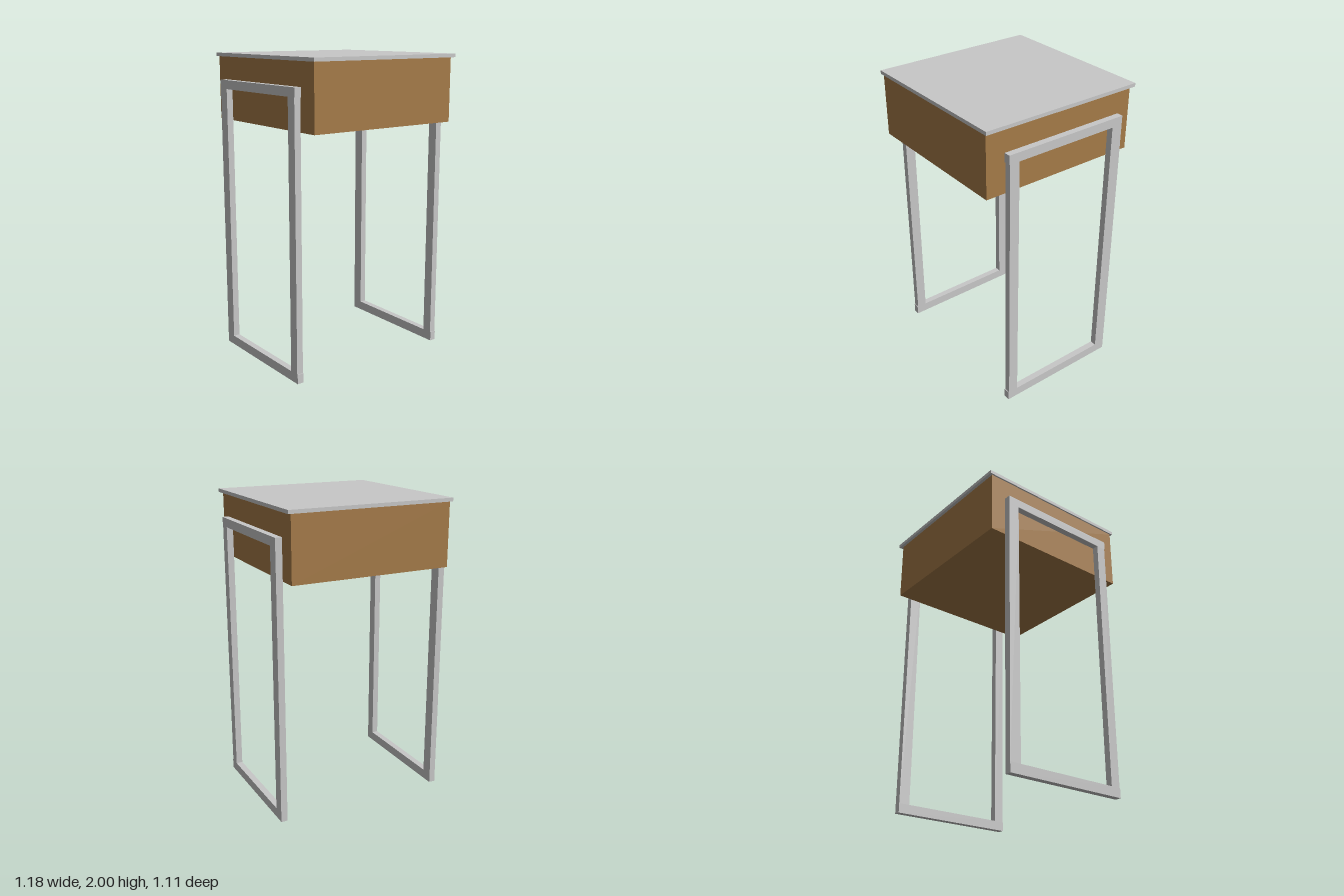
import * as THREE from 'three';

export function createModel() {
  const model = new THREE.Group();
  model.name = 'sideTable';
  const wood = new THREE.MeshStandardMaterial({ color: 0xa57b48 });
  wood.name = 'wood';
  const metal = new THREE.MeshStandardMaterial({ color: 0xc8c8c8 });
  metal.name = 'light grey metal';

  // Box given by its extents along each axis
  function block(name, material, [x0, x1], [y0, y1], [z0, z1], parent = model) {
    const mesh = new THREE.Mesh(new THREE.BoxGeometry(x1 - x0, y1 - y0, z1 - z0), material);
    mesh.position.set((x0 + x1) / 2, (y0 + y1) / 2, (z0 + z1) / 2);
    mesh.name = name;
    parent.add(mesh);
  }

  // Wooden body and overhanging top
  block('body', wood, [-0.54, 0.535], [1.565, 1.977], [-0.537, 0.54]);
  block('tableTop', metal, [-0.55, 0.56], [1.977, 2], [-0.556, 0.555]);

  // Rectangular leg frames: full-length rails with posts between them
  const sides = [['rightLegFrame', [-0.592, -0.549]], ['leftLegFrame', [0.546, 0.589]]];
  for (const [name, x] of sides) {
    const frame = new THREE.Group();
    frame.name = name;
    block('bottomRail', metal, x, [0, 0.062], [-0.437, 0.421], frame);
    block('topRail', metal, x, [1.772, 1.83], [-0.437, 0.421], frame);
    block('frontPost', metal, x, [0.062, 1.772], [0.349, 0.416], frame);
    block('backPost', metal, x, [0.062, 1.772], [-0.437, -0.361], frame);
    model.add(frame);
  }
  return model;
}
